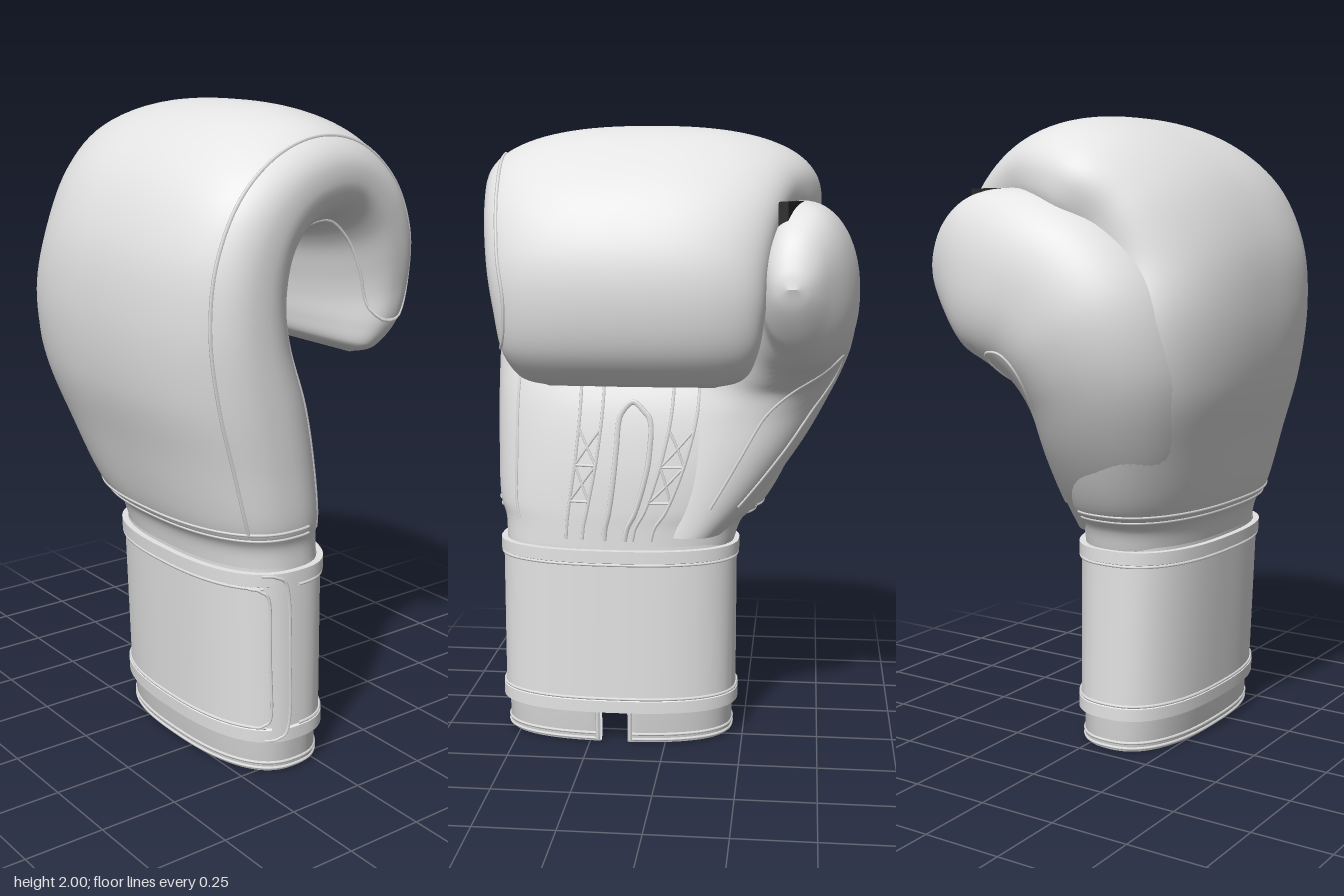
import * as THREE from 'three';
import { toCreasedNormals } from 'three/addons/utils/BufferGeometryUtils.js';

const leather = new THREE.MeshStandardMaterial({ color: 0xe4e4e4, side: THREE.DoubleSide });
leather.name = 'light grey leather';
const webbing = new THREE.MeshStandardMaterial({ color: 0x2a2a2a });
webbing.name = 'black webbing';

const DEG = Math.PI / 180;
const spow = (v, p) => Math.sign(v) * Math.pow(Math.abs(v), p);

// Grid surface from f(u, v), u and v in 0..1; closed wraps v
function grid(f, nu, nv, closed = true) {
  const pos = [], idx = [], cols = closed ? nv : nv + 1;
  for (let i = 0; i <= nu; i++)
    for (let j = 0; j < cols; j++) pos.push(...f(i / nu, j / nv).toArray());
  for (let i = 0; i < nu; i++)
    for (let j = 0; j < nv; j++) {
      const k = (j + 1) % cols;
      const a = i * cols + j, b = a + cols, c = i * cols + k, d = c + cols;
      idx.push(a, b, c, b, d, c);
    }
  const g = new THREE.BufferGeometry();
  g.setAttribute('position', new THREE.Float32BufferAttribute(pos, 3));
  g.setIndex(idx);
  g.computeVertexNormals();
  return g;
}

// Padded surface through stations [outerZ, outerY, innerZ, innerY, xMin, xMax];
// returns point at (station number, angle in degrees): 90 outer, -90 inner, 0 +x
function padded(stations, power) {
  const outer = new THREE.CatmullRomCurve3(stations.map(s => new THREE.Vector3(s[4], s[1], s[0])));
  const inner = new THREE.CatmullRomCurve3(stations.map(s => new THREE.Vector3(s[5], s[3], s[2])));
  const n = stations.length - 1;
  return (s, deg) => {
    const t = Math.min(1, Math.max(0, s / n));
    const o = outer.getPoint(t), i = inner.getPoint(t);
    const c = spow(Math.cos(deg * DEG), 2 / power), h = spow(Math.sin(deg * DEG), 2 / power);
    return new THREE.Vector3(
      (o.x + i.x) / 2 + c * (i.x - o.x) / 2,
      (o.y + i.y) / 2 + h * (o.y - i.y) / 2,
      (o.z + i.z) / 2 + h * (o.z - i.z) / 2);
  };
}

const bodyStations = [
  [0.29, 0.65, -0.11, 0.65, -0.21, 0.55],
  [0.31, 0.73, -0.11, 0.73, -0.24, 0.555],
  [0.35, 0.79, -0.11, 0.79, -0.31, 0.575],
  [0.42, 1.00, -0.10, 0.95, -0.41, 0.585],
  [0.48, 1.20, -0.07, 1.12, -0.47, 0.59],
  [0.50, 1.42, 0.00, 1.30, -0.47, 0.59],
  [0.47, 1.63, 0.03, 1.42, -0.43, 0.59],
  [0.37, 1.82, 0.03, 1.52, -0.44, 0.59],
  [0.20, 1.95, 0.00, 1.58, -0.48, 0.58],
  [0.00, 2.00, -0.05, 1.61, -0.46, 0.565],
  [-0.20, 1.955, -0.12, 1.62, -0.40, 0.545],
  [-0.38, 1.82, -0.17, 1.56, -0.355, 0.525],
  [-0.475, 1.65, -0.195, 1.47, -0.33, 0.505],
  [-0.495, 1.50, -0.205, 1.40, -0.32, 0.485],
  [-0.46, 1.34, -0.21, 1.33, -0.30, 0.465],
  [-0.38, 1.245, -0.225, 1.27, -0.26, 0.42],
  [-0.30, 1.225, -0.30, 1.225, -0.17, 0.33],
];
const thumbStations = [
  [0.22, 0.70, -0.10, 0.70, -0.19, 0.06],
  [0.29, 0.80, -0.10, 0.80, -0.29, 0.06],
  [0.38, 1.02, -0.10, 0.96, -0.43, 0.05],
  [0.425, 1.26, -0.10, 1.10, -0.53, 0.02],
  [0.37, 1.50, -0.11, 1.17, -0.585, -0.05],
  [0.20, 1.68, -0.14, 1.21, -0.60, -0.13],
  [-0.04, 1.77, -0.19, 1.25, -0.60, -0.22],
  [-0.23, 1.76, -0.26, 1.29, -0.565, -0.29],
  [-0.35, 1.69, -0.33, 1.36, -0.51, -0.31],
  [-0.405, 1.59, -0.395, 1.46, -0.455, -0.345],
  [-0.42, 1.53, -0.42, 1.53, -0.41, -0.39],
];
const body = padded(bodyStations, 2.4);
const thumb = padded(thumbStations, 2.2);

// Cuff surface at height y, angle in degrees, pushed out by off
function cuff(y, deg, off = 0) {
  const front = 0.265 + 0.045 * y, back = -0.11;
  const c = spow(Math.cos(deg * DEG), 0.8), s = spow(Math.sin(deg * DEG), 0.8);
  return new THREE.Vector3(0.17 + (0.38 + off) * c, y, (front + back) / 2 + ((front - back) / 2 + off) * s);
}

export function createModel() {
  const group = new THREE.Group();
  const add = (name, geometry, material = leather) => {
    const m = new THREE.Mesh(geometry, material);
    m.name = name;
    group.add(m);
    return m;
  };
  // Piping that follows a surface through [s, angle] points
  const seam = (name, surface, pts, r = 0.006) => {
    const path = new THREE.CatmullRomCurve3(pts.map(p => new THREE.Vector3(p[0], p[1] / 40, 0)));
    const line = path.getPoints(90).map(p => surface(p.x, p.y * 40));
    add(name, new THREE.TubeGeometry(new THREE.CatmullRomCurve3(line), 140, r, 5));
  };
  const arc = (s, from, to) => Array.from({ length: 13 }, (_, i) => [s, from + (to - from) * i / 12]);

  // Padded hand and thumb
  add('paddedHand', grid((u, v) => body(u * 16, v * 360), 112, 88));
  add('thumb', grid((u, v) => thumb(u * 10, v * 360), 72, 64));

  // Side panel seam, round the fingertips and down the palm
  const side = [];
  for (let s = 2; s <= 13; s++) side.push([s, 30]);
  side.push([13.8, 18], [13.9, -5], [13.4, -28], [12, -38], [10.5, -45], [9, -48],
    [7.5, -48], [6, -42], [5, -40], [4, -38], [3, -38], [1.2, -38]);
  seam('sidePanelSeam', body, side);
  seam('thumbSeam', thumb, [[1, 230], [2.5, 222], [4, 215], [5, 217], [5.5, 230], [5, 248], [4, 256], [2.5, 260], [1, 262]], 0.005);

  // Trim band where the padding meets the wrist
  for (const s of [1.65, 1.98]) seam('wristTrim', body, arc(s, -12, 200), 0.005);

  // Palm slit with piped edge, and lace bands with crossed stitching
  seam('palmSlitPiping', body, [[0.5, -93], [2, -93], [3.2, -92], [3.9, -90], [4.1, -87], [3.9, -84], [3.2, -84], [2, -86], [0.5, -87]], 0.01);
  for (const k of [-1, 1]) {
    const a = -87 + k * 9, b = -87 + k * 17;
    seam('laceBandEdge', body, [[0.5, a], [2, a], [3.5, a], [4.5, a]], 0.006);
    seam('laceBandEdge', body, [[0.5, b], [2, b], [3.5, b], [4.5, b]], 0.006);
    for (const s of [2.2, 2.9]) {
      seam('laceCrossStitch', body, [[s, a], [s + 0.7, b]], 0.005);
      seam('laceCrossStitch', body, [[s, b], [s + 0.7, a]], 0.005);
      seam('laceCrossStitch', body, [[s, a], [s, b]], 0.005);
    }
  }

  // Open cuff with a gap at the back, walls turned in at the rim
  const wall = [[0.85, -0.15], [0.6, -0.025], [0.015, -0.025], [0, -0.018], [0, -0.006], [0.015, 0], [0.67, 0]];
  add('cuffLining', toCreasedNormals(grid((u, v) => {
    const [y, off] = wall[Math.round(u * 6)];
    return cuff(y, -86 + v * 352, off);
  }, 6, 72, false), 0.7));
  for (const y of [0.012, 0.03]) seam('cuffRimPiping', cuff, arc(y, -85, 265), 0.005);
  for (const deg of [-85, 265]) seam('cuffGapPiping', cuff, [[0.01, deg], [0.06, deg], [0.13, deg]], 0.008);

  // Wrist strap with raised bound edges
  const strap = [[0.11, 0], [0.11, 0.02], [0.15, 0.02], [0.154, 0.012], [0.616, 0.012], [0.62, 0.02], [0.66, 0.02], [0.66, 0]];
  add('wristStrap', toCreasedNormals(grid((u, v) => {
    const [y, off] = strap[Math.round(u * 7)];
    return cuff(y, v * 360, off);
  }, 7, 88), 0.6));
  const strapSkin = (y, deg) => cuff(y, deg, 0.015);
  seam('strapLowerStitch', strapSkin, arc(0.157, 25, 360), 0.005);
  seam('strapUpperStitch', strapSkin, arc(0.613, 25, 360), 0.005);

  // Rounded strap end on the outer side
  const flapSkin = (y, deg) => cuff(y, deg, 0.018);
  add('strapEndBinding', grid((u, v) => {
    const round = Math.pow(Math.abs(2 * u - 1), 10) * 8;
    return cuff(0.115 + 0.54 * u, 6 + round + v * 13, 0.021);
  }, 32, 6, false));
  seam('strapEndEdge', flapSkin,
    [[0.655, 26], [0.65, 16], [0.62, 8], [0.55, 6], [0.38, 6], [0.22, 6], [0.15, 8], [0.12, 16], [0.115, 26]], 0.006);
  seam('strapEndStitch', flapSkin,
    [[0.613, 36], [0.605, 27], [0.57, 21], [0.38, 21], [0.2, 21], [0.165, 27], [0.157, 36]], 0.005);

  // Webbing joining the thumb to the fingers
  const tie = add('thumbTie', new THREE.BoxGeometry(0.03, 0.09, 0.15), webbing);
  tie.position.set(-0.39, 1.73, -0.225);
  tie.rotation.y = -0.3;

  return group;
}
